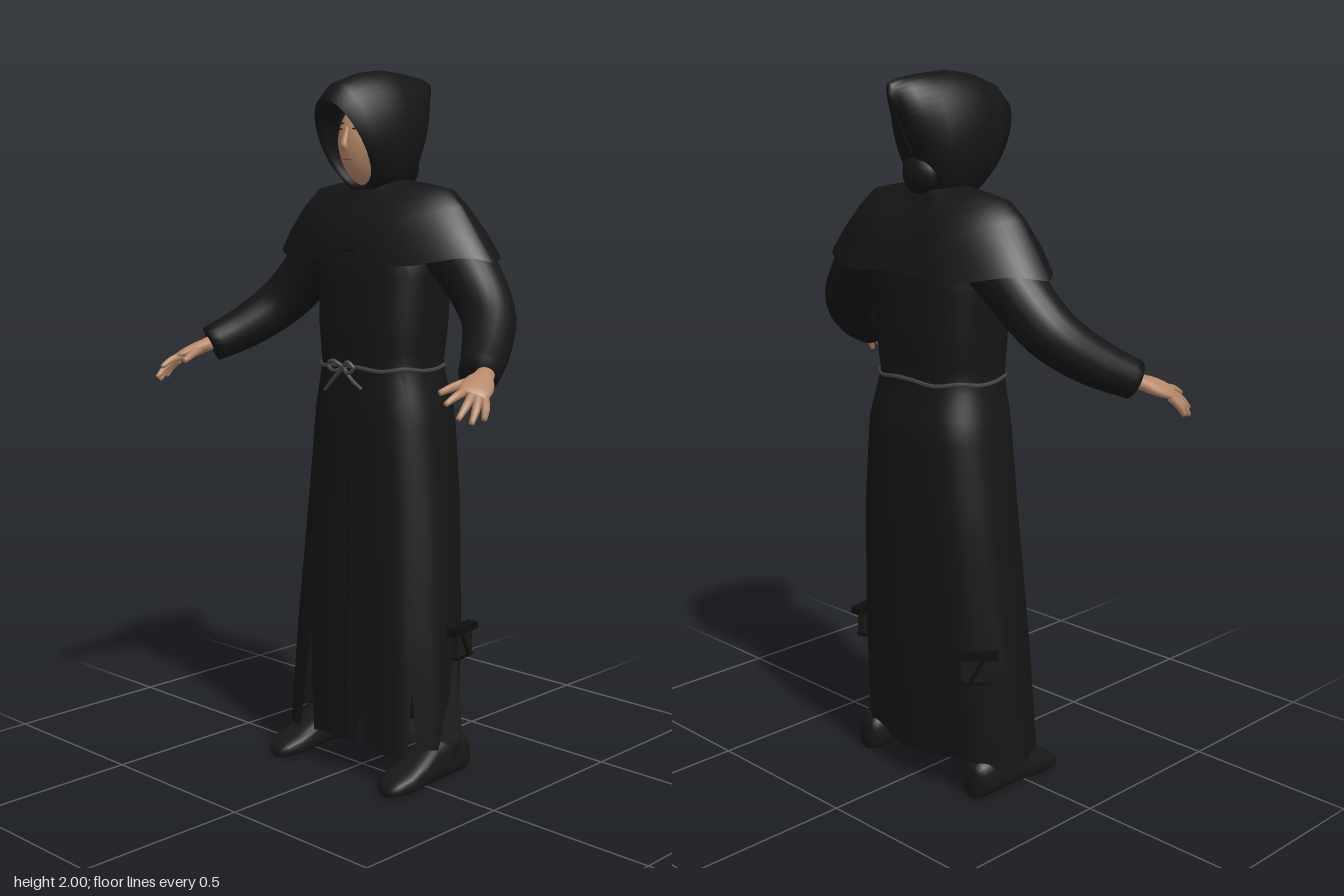
import * as THREE from 'three';

const mat = (name, color, side = THREE.FrontSide) => {
  const m = new THREE.MeshStandardMaterial({ color, side });
  m.name = name;
  return m;
};
const V = (x, y, z) => new THREE.Vector3(x, y, z);
const lerp = THREE.MathUtils.lerp;
const spow = (v, e) => Math.sign(v) * Math.pow(Math.abs(v), e);

// Smooth skin over a list of closed rings; cap closes both ends
function loft(rings, cap = false) {
  if (cap) {
    const flat = (r) => {
      const c = r.reduce((s, p) => s.add(p), V(0, 0, 0)).divideScalar(r.length);
      return r.map(() => c);
    };
    rings = [flat(rings[0]), ...rings, flat(rings[rings.length - 1])];
  }
  const n = rings[0].length, pos = [], idx = [];
  rings.forEach((r) => r.forEach((p) => pos.push(p.x, p.y, p.z)));
  for (let i = 0; i < rings.length - 1; i++) {
    for (let j = 0; j < n; j++) {
      const a = i * n + j, b = i * n + (j + 1) % n;
      idx.push(a, b, a + n, b, b + n, a + n);
    }
  }
  const g = new THREE.BufferGeometry();
  g.setAttribute('position', new THREE.Float32BufferAttribute(pos, 3));
  g.setIndex(idx);
  g.computeVertexNormals();
  return g;
}

// Tapered tube along a smooth path
function sweep(points, radii, steps = 12, sides = 12) {
  const curve = new THREE.CatmullRomCurve3(points.map((p) => V(...p)));
  const f = curve.computeFrenetFrames(steps, false), rings = [];
  for (let i = 0; i <= steps; i++) {
    const u = i / steps, k = u * (radii.length - 1), k0 = Math.min(Math.floor(k), radii.length - 2);
    const r = lerp(radii[k0], radii[k0 + 1], k - k0), c = curve.getPoint(u), ring = [];
    for (let j = 0; j < sides; j++) {
      const t = (j / sides) * Math.PI * 2;
      ring.push(c.clone().addScaledVector(f.normals[i], r * Math.cos(t)).addScaledVector(f.binormals[i], r * Math.sin(t)));
    }
    rings.push(ring);
  }
  return loft(rings, true);
}

// Robe silhouette: y, half width, front z, back z
const ROBE = [
  [0.06, 0.308, 0.092, -0.212], [0.4, 0.282, 0.082, -0.237], [0.8, 0.24, 0.065, -0.253], [1.05, 0.208, 0.062, -0.25],
  [1.18, 0.18, 0.052, -0.218], [1.3, 0.19, 0.058, -0.23], [1.48, 0.2, 0.05, -0.232], [1.6, 0.18, 0.0, -0.2],
];
function robePoint(t, y, off = 0) {
  let i = 0;
  while (i < ROBE.length - 2 && y > ROBE[i + 1][0]) i++;
  const k = (y - ROBE[i][0]) / (ROBE[i + 1][0] - ROBE[i][0]);
  const [rx, zf, zb] = [1, 2, 3].map((q) => lerp(ROBE[i][q], ROBE[i + 1][q], k));
  const fall = THREE.MathUtils.clamp((1.15 - y) / 1.05, 0, 1);
  const fold = 1 + 0.035 * fall * (Math.cos(8 * t + 0.5) - 1) + off;
  const s = Math.sin(t), c = Math.cos(t), side = s > 0 ? 1 - 0.11 * fall : 1;
  return V(rx * side * (fold * 0.4 + 0.6) * spow(s, 0.76), y, (zf + zb) / 2 + ((zf - zb) / 2) * fold * spow(c, 0.76));
}
// Hem height with torn slits: angle, half width, slit height
const SLITS = [[-0.46, 0.13, 0.32], [0.18, 0.045, 0.14], [0.95, 0.08, 0.2], [1.75, 0.3, 0.27]];
const hem = (t) => SLITS.reduce((h, [a, w, y]) => Math.max(h, 0.1 + y * (1 - Math.abs(t - a) / w)),
  0.095 + 0.012 * Math.cos(5 * t));

export function createModel() {
  const cloth = mat('black cloth', 0x151515, THREE.DoubleSide);
  const seamMat = mat('seam black', 0x0d0d0d);
  const trouser = mat('charcoal trousers', 0x1e1e1e);
  const leather = mat('dark leather', 0x181817);
  const rope = mat('grey cord', 0x444444);
  const skin = mat('skin', 0xb58869);
  const brow = mat('dark brow', 0x3a2a20);
  const lip = mat('lips', 0x94604e);

  const model = new THREE.Group();
  const add = (name, geo, m, parent = model) => {
    const mesh = new THREE.Mesh(geo, m);
    mesh.name = name;
    parent.add(mesh);
    return mesh;
  };

  // Robe with pleats and torn hem
  const rows = 44, cols = 160, robe = [];
  for (let i = 0; i <= rows; i++) {
    robe.push(Array.from({ length: cols }, (_, j) => {
      const t = (j / cols) * Math.PI * 2 - Math.PI;
      return robePoint(t, lerp(hem(t), 1.6, i / rows));
    }));
  }
  add('robe', loft(robe), cloth);
  const seamPts = [1.5, 1.35, 1.2, 1.0, 0.7, 0.4, 0.12].map((y) => robePoint(0.02, y).toArray());
  add('frontSeam', sweep(seamPts, [0.002, 0.003], 24, 6), seamMat);

  // Shoulder cape, broad and flat behind, pointed in front: front/back y, side y, half width, front z, back z
  const CAPE = [
    [1.475, 1.49, 0.4, 0.09, -0.268], [1.52, 1.555, 0.355, 0.085, -0.255], [1.575, 1.63, 0.295, 0.072, -0.238],
    [1.62, 1.675, 0.245, 0.045, -0.215], [1.65, 1.69, 0.17, 0.015, -0.185], [1.69, 1.7, 0.085, 0, -0.165],
  ];
  add('shoulderCape', loft(CAPE.map(([yf, ys, rx, zf, zb], i) => Array.from({ length: 72 }, (_, j) => {
    const t = (j / 72) * Math.PI * 2, s = Math.sin(t), c = Math.cos(t);
    const wave = i < 2 ? 0.008 * Math.cos(6 * t) : 0;
    const depth = c > 0 ? Math.pow(c, 1.35) : -Math.min(1, 1.12 * Math.pow(-c, 1.12));
    return V(rx * s, lerp(yf, ys, s * s) + wave, (zf + zb) / 2 + ((zf - zb) / 2) * depth);
  }))), cloth);
  const clasp = add('capeClasp', new THREE.SphereGeometry(1, 12, 8), seamMat);
  clasp.scale.set(0.03, 0.006, 0.006);
  clasp.position.set(0.03, 1.51, 0.082);

  // Peaked hood, from inner lining to the back tip: top y, top z, bottom y, bottom z, half width
  const HOOD = [
    [1.9, 0.05, 1.685, -0.03, 0.077], [1.9, 0.12, 1.685, 0.005, 0.077], [1.917, 0.152, 1.672, 0.006, 0.086],
    [1.96, 0.105, 1.66, -0.005, 0.101], [1.99, 0.01, 1.645, -0.04, 0.112], [2.0, -0.07, 1.64, -0.08, 0.114],
    [1.993, -0.16, 1.65, -0.125, 0.1], [1.984, -0.23, 1.69, -0.155, 0.07], [1.972, -0.272, 1.73, -0.17, 0.033],
    [1.945, -0.275, 1.76, -0.178, 0.003],
  ];
  add('hood', loft(HOOD.map(([yt, zt, yb, zb, w], i) => Array.from({ length: 40 }, (_, j) => {
    const t = (j / 40) * Math.PI * 2, k = (Math.cos(t) + 1) / 2;
    const peak = i < 4 ? 1 - 0.15 * k * k : 1;
    return V(w * peak * Math.sin(t), lerp(yb, yt, k), lerp(zb, zt, k));
  }))), cloth);
  const nape = add('napeFold', new THREE.SphereGeometry(1, 16, 12), cloth);
  nape.scale.set(0.06, 0.06, 0.042);
  nape.position.set(0, 1.735, -0.158);

  // Head and face
  const face = new THREE.Group();
  face.name = 'head';
  model.add(face);
  const jaw = (y) => (y < 0 ? 1 + 0.25 * y : 1);
  const headGeo = new THREE.SphereGeometry(1, 32, 24), hp = headGeo.attributes.position;
  for (let i = 0; i < hp.count; i++) {
    const y = hp.getY(i);
    hp.setXYZ(i, hp.getX(i) * 0.078 * jaw(y), 1.8 + y * 0.12, -0.025 + hp.getZ(i) * 0.092);
  }
  headGeo.computeVertexNormals();
  add('face', headGeo, skin, face);
  const faceZ = (x, y) => {
    const v = (y - 1.8) / 0.12, u = x / (0.078 * jaw(v));
    return -0.025 + 0.092 * Math.sqrt(Math.max(0, 1 - u * u - v * v));
  };
  const spot = (name, x, y, w, h, m) => {
    const p = add(name, new THREE.SphereGeometry(1, 12, 8), m, face);
    p.scale.set(w, h, 0.004);
    p.position.set(x, y, faceZ(x, y));
    p.rotation.y = x * 9;
  };
  for (const s of [-1, 1]) {
    spot('eyebrow', s * 0.028, 1.853, 0.015, 0.003, brow);
    spot('eye', s * 0.027, 1.838, 0.01, 0.003, brow);
  }
  spot('mouth', 0, 1.757, 0.02, 0.004, lip);
  add('nose', sweep([[0, 1.842, 0.058], [0, 1.815, 0.067], [0, 1.79, 0.073], [0, 1.782, 0.066]],
    [0.005, 0.008, 0.011, 0.007], 8, 10), skin, face);

  // Arms, hands and legs, built on the +x side and mirrored
  const FINGERS = [
    [[0.54, 1.2, 0.145], [0.514, 1.188, 0.195], [0.498, 1.174, 0.236]],
    [[0.552, 1.183, 0.19], [0.556, 1.172, 0.238], [0.553, 1.155, 0.276]],
    [[0.572, 1.175, 0.195], [0.585, 1.15, 0.235], [0.587, 1.12, 0.268]],
    [[0.586, 1.168, 0.19], [0.603, 1.138, 0.22], [0.608, 1.108, 0.242]],
    [[0.596, 1.165, 0.178], [0.614, 1.14, 0.195], [0.62, 1.115, 0.208]],
  ];
  // Palm sections from wrist to knuckles: half width, half thickness
  const PALM = [[0.024, 0.021], [0.027, 0.02], [0.037, 0.02], [0.042, 0.019], [0.042, 0.016], [0.038, 0.011]];
  const along = V(0.04, -0.05, 0.09).normalize();
  const normal = along.clone().cross(V(0.12, -0.055, -0.035)).normalize();
  const across = normal.clone().cross(along);
  const palm = PALM.map(([w, h], i) => Array.from({ length: 18 }, (_, j) => {
    const t = (j / 18) * Math.PI * 2, k = i / (PALM.length - 1);
    return V(lerp(0.535, 0.578, k), lerp(1.215, 1.172, k), lerp(0.1, 0.205, k))
      .addScaledVector(across, w * Math.cos(t)).addScaledVector(normal, h * Math.sin(t));
  }));
  // Shoe sections from toe to heel: z, half width, height
  const SHOE = [[0.138, 0.02, 0.025], [0.122, 0.042, 0.042], [0.08, 0.057, 0.06], [0.02, 0.056, 0.085],
    [-0.04, 0.05, 0.12], [-0.12, 0.052, 0.13], [-0.175, 0.045, 0.11], [-0.19, 0.03, 0.09]];
  for (const s of [1, -1]) {
    const limb = new THREE.Group();
    limb.name = s > 0 ? 'leftLimbs' : 'rightLimbs';
    limb.scale.x = s;
    model.add(limb);
    add('sleeve', sweep([[0.17, 1.56, -0.11], [0.28, 1.47, -0.11], [0.395, 1.345, -0.075], [0.465, 1.265, 0.015], [0.522, 1.212, 0.112]],
      [0.088, 0.084, 0.075, 0.065, 0.054], 20, 20), cloth, limb);
    add('palm', loft(palm, true), skin, limb);
    FINGERS.forEach((f, i) => add(i ? 'finger' : 'thumb', sweep(f, i ? [0.012, 0.0108, 0.007] : [0.016, 0.012, 0.008], 8, 8), skin, limb));

    add('trouserLeg', sweep([[0.12, 0.85, -0.09], [0.17, 0.5, -0.09], [0.2, 0.25, -0.1], [0.215, 0.07, -0.11]],
      [0.085, 0.075, 0.066, 0.06], 12, 20), trouser, limb);
    add('shoe', loft(SHOE.map(([z, w, h]) => Array.from({ length: 24 }, (_, j) => {
      const t = (j / 24) * Math.PI * 2;
      return V(0.222 + w * spow(Math.sin(t), 0.8), h * (0.5 + 0.5 * spow(Math.cos(t), 0.7)), z);
    })), true), leather, limb);

    // Small torn pouch strapped low at the side
    const pouch = new THREE.Group();
    pouch.name = 'pouch';
    pouch.position.set(s > 0 ? 0.257 : 0.235, 0.4, s > 0 ? -0.14 : -0.185);
    pouch.rotation.y = s > 0 ? 0.15 : 0.75;
    limb.add(pouch);
    const box = (name, w, h, d, x, y, z, m, tilt = 0) => {
      const b = add(name, new THREE.BoxGeometry(w, h, d), m, pouch);
      b.position.set(x, y, z);
      b.rotation.x = tilt;
    };
    box('pouchBody', 0.026, 0.07, 0.08, 0, -0.01, 0, leather);
    box('pouchFlap', 0.034, 0.02, 0.12, 0.003, 0.035, 0, seamMat);
    box('pouchStrap', 0.006, 0.085, 0.01, 0.015, -0.01, 0, seamMat, 0.5);
    box('pouchHem', 0.03, 0.008, 0.084, 0, -0.045, 0, seamMat);
  }

  // Cord belt with a loose bow
  const belt = Array.from({ length: 64 }, (_, j) => robePoint((j / 64) * Math.PI * 2, 1.18 + 0.004 * Math.cos(j * 0.6), 0.015));
  add('cordBelt', new THREE.TubeGeometry(new THREE.CatmullRomCurve3(belt, true), 128, 0.006, 6, true), rope);
  const BOW = [
    [[-0.015, 1.18, 0.06], [-0.05, 1.198, 0.07], [-0.07, 1.185, 0.066], [-0.05, 1.17, 0.07], [-0.015, 1.178, 0.062]],
    [[-0.015, 1.18, 0.06], [0.01, 1.198, 0.07], [0.03, 1.18, 0.066], [0.01, 1.165, 0.07], [-0.015, 1.178, 0.062]],
    [[-0.015, 1.18, 0.062], [-0.045, 1.15, 0.066], [-0.085, 1.11, 0.066]],
    [[-0.015, 1.18, 0.062], [0.02, 1.15, 0.066], [0.06, 1.125, 0.066]],
  ];
  BOW.forEach((p) => add('cordBow', sweep(p, [0.006, 0.005], 16, 6), rope));
  const knot = add('cordKnot', new THREE.SphereGeometry(0.011, 10, 8), rope);
  knot.position.set(-0.015, 1.18, 0.06);

  return model;
}
